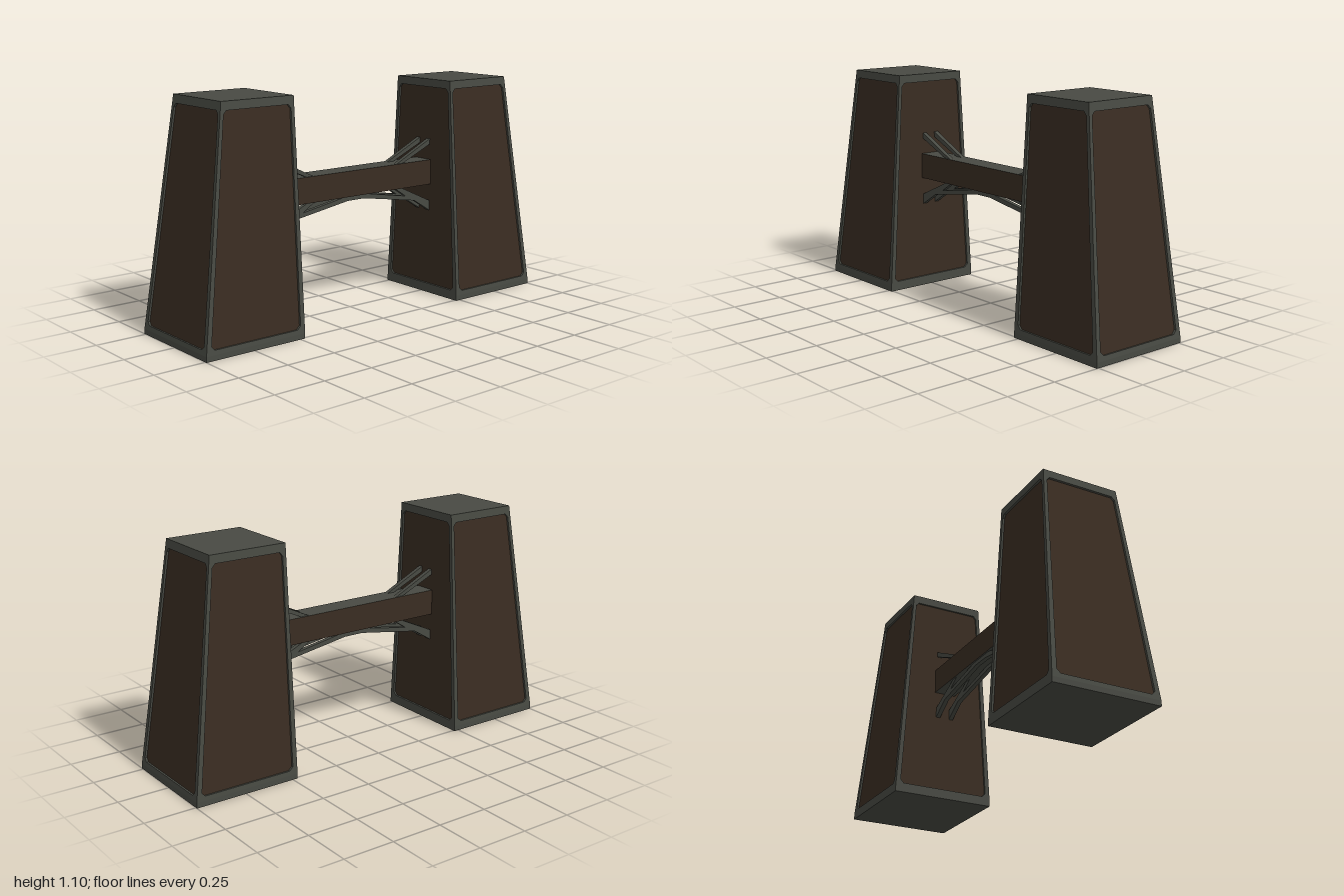
import * as THREE from 'three';

const metal = new THREE.MeshStandardMaterial({ color: 0x484a43 });
metal.name = 'dark grey metal';
const rust = new THREE.MeshStandardMaterial({ color: 0x3a2d22 });
rust.name = 'rusty brown';

const H = 1.095, SKIRT = 0.025, RECESS = 0.01;
const IN = 0.475, OUT_B = 1, OUT_T = 0.855, Z_B = 0.26, Z_T = 0.19;

function add(parent, geometry, material, name) {
  const mesh = new THREE.Mesh(geometry, material);
  mesh.name = name;
  parent.add(mesh);
  return mesh;
}

function box(x0, x1, y0, y1, z) {
  return new THREE.BoxGeometry(x1 - x0, y1 - y0, 2 * z)
    .translate((x0 + x1) / 2, (y0 + y1) / 2, 0);
}

// Bends a unit-square geometry onto four corners (counter-clockwise from bottom left)
function mapToFace(geometry, corners, depthOf) {
  const [a, b, c, d] = corners;
  const normal = b.clone().sub(a).cross(d.clone().sub(a)).normalize();
  const pos = geometry.attributes.position;
  for (let i = 0; i < pos.count; i++) {
    const u = pos.getX(i), v = pos.getY(i), depth = depthOf(pos.getZ(i));
    const low = a.clone().lerp(b, u), high = d.clone().lerp(c, u);
    const p = low.lerp(high, v).addScaledVector(normal, -depth);
    pos.setXYZ(i, p.x, p.y, p.z);
  }
  geometry.computeVertexNormals();
  return geometry;
}

// Panel outline with small clipped corners
function panelPoints() {
  const u0 = 0.045, u1 = 0.955, v0 = 0.02, v1 = 0.963, cu = 0.035, cv = 0.016;
  return [
    [u0 + cu, v0], [u1 - cu, v0], [u1, v0 + cv], [u1, v1 - cv],
    [u1 - cu, v1], [u0 + cu, v1], [u0, v1 - cv], [u0, v0 + cv],
  ].map(([u, v]) => new THREE.Vector2(u, v));
}

// One tapered tower on the +x side: framed walls with recessed panels
function createTower() {
  const tower = new THREE.Group();
  const bottom = [[IN, Z_B], [OUT_B, Z_B], [OUT_B, -Z_B], [IN, -Z_B]];
  const top = [[IN, Z_T], [OUT_T, Z_T], [OUT_T, -Z_T], [IN, -Z_T]];
  const names = ['front', 'outer', 'back', 'inner'];

  names.forEach((name, i) => {
    const j = (i + 1) % 4;
    const at = ([x, z], y) => new THREE.Vector3(x, y, z);
    const corners = [at(bottom[i], SKIRT), at(bottom[j], SKIRT), at(top[j], H), at(top[i], H)];

    const frame = new THREE.Shape([[0, 0], [1, 0], [1, 1], [0, 1]].map(p => new THREE.Vector2(...p)));
    frame.holes.push(new THREE.Path(panelPoints().reverse()));
    const frameGeometry = new THREE.ExtrudeGeometry(frame, { depth: 1, bevelEnabled: false });
    add(tower, mapToFace(frameGeometry, corners, z => (1 - z) * RECESS), metal, name + 'Frame');

    const panel = new THREE.ShapeGeometry(new THREE.Shape(panelPoints()));
    add(tower, mapToFace(panel, corners, () => RECESS), rust, name + 'Panel');
  });

  add(tower, box(IN, OUT_B, 0, SKIRT, Z_B), metal, 'baseSkirt');
  add(tower, box(IN, OUT_T, H - 0.004, H, Z_T), metal, 'topCap');
  return tower;
}

// Flat bar cut from a side outline, centred on z
function bar(points, z, width = 0.022) {
  const shape = new THREE.Shape(points.map(p => new THREE.Vector2(...p)));
  return new THREE.ExtrudeGeometry(shape, { depth: width, bevelEnabled: false })
    .translate(0, 0, z - width / 2);
}

// Braces of one half of the bridge, in pairs beside the centre line
function createBraces() {
  const braces = new THREE.Group();
  const upper = [[0.25, 0.685], [0.29, 0.685], [0.48, 0.768], [0.48, 0.795]];
  const lower = [
    [0, 0.545], [0.05, 0.545], [0.38, 0.492], [0.48, 0.43], [0.48, 0.48],
    [0.29, 0.567], [0.25, 0.567], [0.32, 0.522], [0.06, 0.567], [0, 0.567],
  ];
  for (const z of [-0.036, 0.036]) {
    add(braces, bar(upper, z), metal, 'upperBrace');
    add(braces, bar(lower, z), metal, 'lowerBrace');
  }
  return braces;
}

export function createModel() {
  const model = new THREE.Group();
  model.name = 'twinTowerBridge';

  // The two halves are half-turn copies
  ['left', 'right'].forEach((side, i) => {
    const tower = createTower();
    tower.name = side + 'Tower';
    const braces = createBraces();
    braces.name = side + 'Braces';
    tower.rotation.y = braces.rotation.y = i * Math.PI;
    model.add(tower, braces);
  });

  // Beam: metal top and underside, rusty sides
  add(model, box(-0.48, 0.48, 0.565, 0.69, 0.055),
    [metal, metal, metal, metal, rust, rust], 'crossBeam');
  return model;
}
